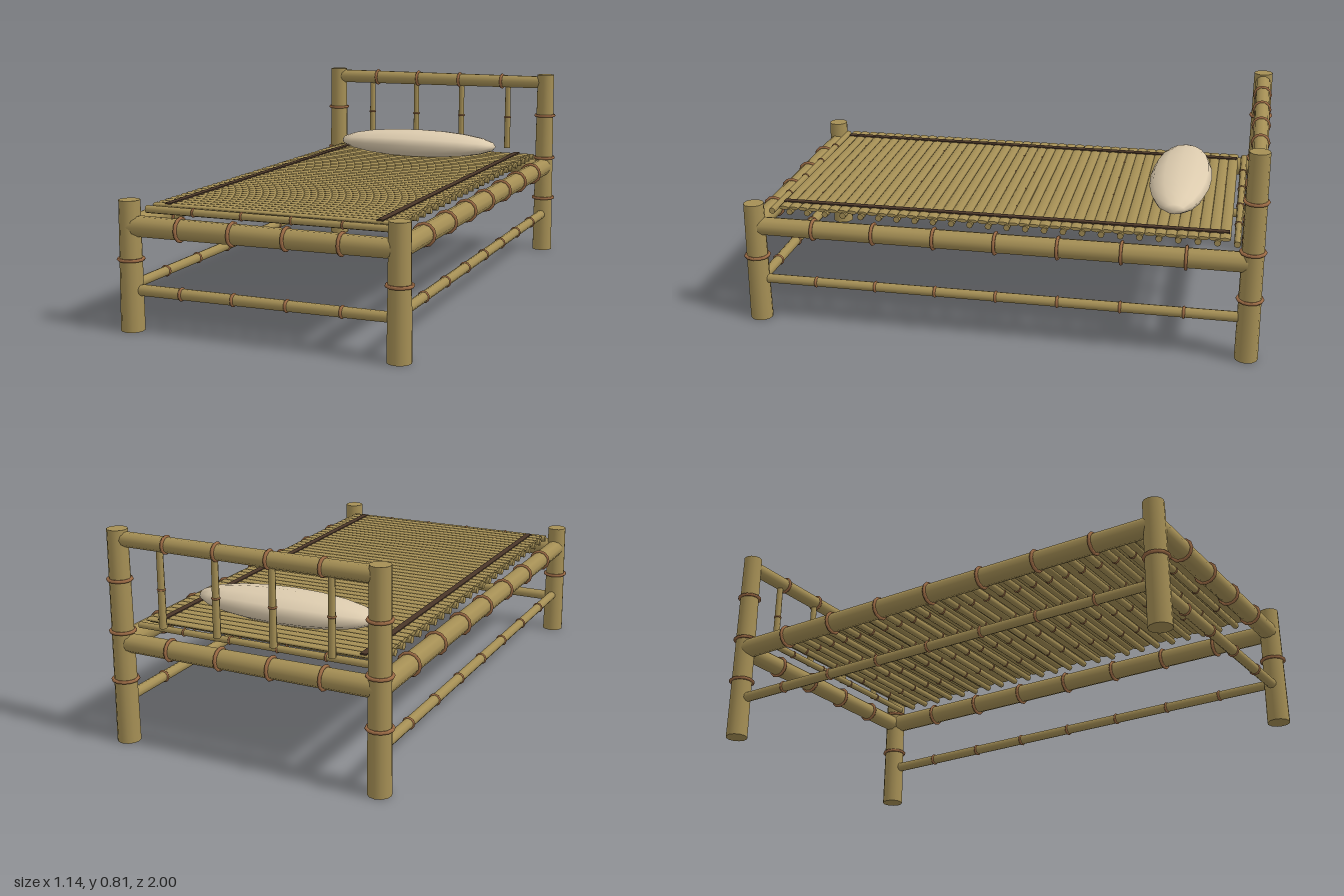
import * as THREE from 'three';

const bamboo = new THREE.MeshStandardMaterial({ color: 0xa58f55 });
const node = new THREE.MeshStandardMaterial({ color: 0x9c6b45 });
const binding = new THREE.MeshStandardMaterial({ color: 0x4a3628 });
const linen = new THREE.MeshStandardMaterial({ color: 0xdccbae });
const UP = new THREE.Vector3(0, 1, 0);

// Tapered cane from a to b with raised rings at the given fractions
function cane(name, a, b, rA, rB, rings, sides = 10) {
  const start = new THREE.Vector3(...a);
  const dir = new THREE.Vector3(...b).sub(start);
  const length = dir.length();
  const group = new THREE.Group();
  group.name = name;
  group.position.copy(start);
  group.quaternion.setFromUnitVectors(UP, dir.normalize());

  const stem = new THREE.Mesh(new THREE.CylinderGeometry(rB, rA, length, sides), bamboo);
  stem.name = name + 'Stem';
  stem.position.y = length / 2;
  group.add(stem);

  for (const t of rings) {
    const r = THREE.MathUtils.lerp(rA, rB, t);
    const tube = Math.min(0.0065, r * 0.3);
    const ring = new THREE.Mesh(new THREE.TorusGeometry(r * 1.25 - tube, tube, 6, 12), node);
    ring.name = name + 'Ring';
    ring.rotation.x = Math.PI / 2;
    ring.position.y = t * length;
    group.add(ring);
  }
  return group;
}

// n evenly spaced fractions between the two ends
const spaced = (n) => Array.from({ length: n }, (_, i) => (i + 1) / (n + 1));

export function createModel() {
  const bed = new THREE.Group();
  bed.name = 'bambooBed';
  const X = 0.515, Z = 0.948;

  // Posts and long rails, both sides
  for (const s of [-1, 1]) {
    const x = s * X;
    bed.add(cane('frontPost', [x, 0, Z], [x, 0.48, Z], 0.044, 0.039, [0.55], 12));
    bed.add(cane('backPost', [x, 0, -Z], [x, 0.812, -Z], 0.044, 0.038, [0.3, 0.53, 0.77], 12));
    bed.add(cane('sideRail', [x, 0.388, -Z], [x, 0.388, Z], 0.039, 0.036, spaced(7)));
    bed.add(cane('lowerSideRail', [x, 0.167, -Z], [x, 0.167, Z], 0.02, 0.018, spaced(7)));
  }

  // Rails across the foot and head
  const crossRail = (name, y, z, r) =>
    bed.add(cane(name, [-X, y, z], [X, y, z], r, r * 0.9, spaced(4)));
  crossRail('footRail', 0.386, Z, 0.039);
  crossRail('headRail', 0.386, -Z, 0.039);
  crossRail('lowerFootRail', 0.152, Z, 0.021);
  crossRail('headboardTopRail', 0.776, -Z, 0.031);

  // Headboard spindles
  for (let i = 0; i < 4; i++) {
    const x = -0.338 + i * 0.2253;
    bed.add(cane('headboardSpindle', [x, 0.465, -Z], [x, 0.765, -Z], 0.0145, 0.0125, [0.48], 8));
  }

  // Round slats under the mat
  const slats = new THREE.Group();
  slats.name = 'slats';
  const slatCount = 26;
  for (let i = 0; i < slatCount; i++) {
    const z = -0.89 + (1.78 * i) / (slatCount - 1);
    slats.add(cane('slat', [-0.48, 0.438, z], [0.48, 0.438, z], 0.0145, 0.0125, spaced(4), 8));
  }
  bed.add(slats);

  // Mat of thin flattened reeds laid side by side
  const mat = new THREE.Group();
  mat.name = 'sleepingMat';
  const reedCount = 44, pitch = 1.73 / reedCount;
  const reedGeometry = new THREE.CylinderGeometry(1, 1, 0.94, 8).rotateZ(Math.PI / 2);
  reedGeometry.scale(1, 0.007, pitch * 0.52);
  for (let i = 0; i < reedCount; i++) {
    const reed = new THREE.Mesh(reedGeometry, bamboo);
    reed.name = 'reed';
    reed.position.set(0, 0.45, -0.865 + pitch * (i + 0.5));
    mat.add(reed);
  }
  for (const s of [-1, 1]) {
    const strip = new THREE.Mesh(new THREE.BoxGeometry(0.025, 0.006, 1.72), binding);
    strip.name = 'matBinding';
    strip.position.set(s * 0.41, 0.457, 0);
    mat.add(strip);
  }
  bed.add(mat);

  // Pillow tapering to a point at each side
  const pillowGeometry = new THREE.SphereGeometry(1, 12, 10).rotateZ(Math.PI / 2);
  pillowGeometry.scale(0.37, 0.062, 0.122);
  const pillow = new THREE.Mesh(pillowGeometry, linen);
  pillow.name = 'pillow';
  pillow.position.set(0, 0.508, -0.65);
  bed.add(pillow);

  return bed;
}
